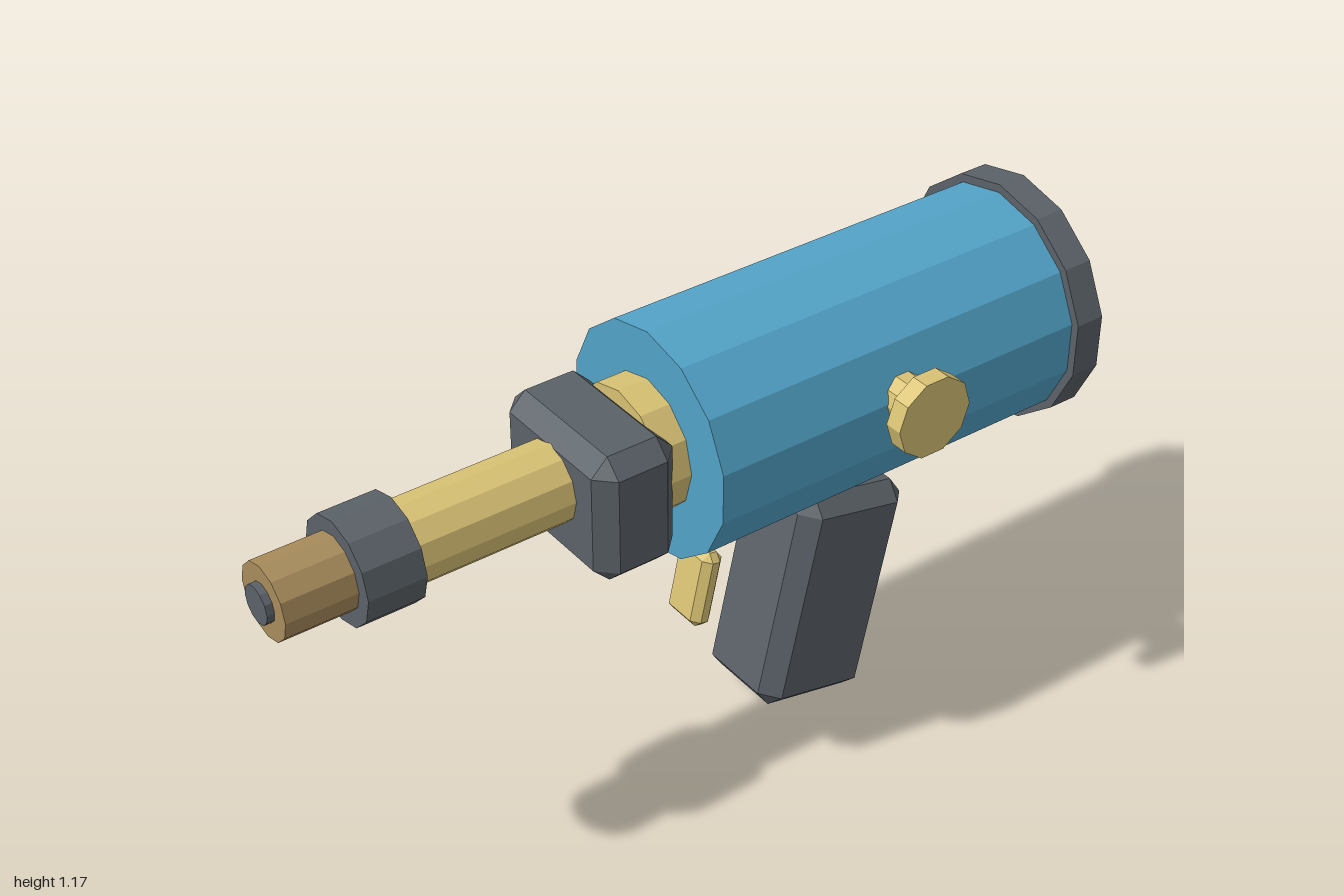
import * as THREE from 'three';
import { ConvexGeometry } from 'three/addons/geometries/ConvexGeometry.js';

const AXIS_X = -0.037, AXIS_Y = 0.876;

const paint = (color) => new THREE.MeshStandardMaterial({ color, flatShading: true });

// Box with a single flat chamfer along every edge
function chamferBox(w, h, d, c) {
  const points = [];
  for (const sx of [-1, 1]) for (const sy of [-1, 1]) for (const sz of [-1, 1]) {
    const x = w / 2, y = h / 2, z = d / 2;
    points.push(
      new THREE.Vector3(sx * x, sy * (y - c), sz * (z - c)),
      new THREE.Vector3(sx * (x - c), sy * y, sz * (z - c)),
      new THREE.Vector3(sx * (x - c), sy * (y - c), sz * z),
    );
  }
  return new ConvexGeometry(points);
}

export function createModel() {
  const model = new THREE.Group();
  model.name = 'blaster';
  const dark = paint(0x5b6268), blue = paint(0x52a3c8);
  const yellow = paint(0xd9c274), bronze = paint(0xa88b5c);

  function add(name, geometry, material, x, y, z, tilt = 0) {
    const mesh = new THREE.Mesh(geometry, material);
    mesh.name = name;
    mesh.position.set(x, y, z);
    mesh.rotation.x = tilt;
    model.add(mesh);
  }

  // Cylinders along the barrel axis: name, radius, sides, back z, front z, material
  const tubes = [
    ['rearCap', 0.295, 14, -1, -0.927, dark],
    ['body', 0.275, 14, -0.927, 0.05, blue],
    ['collar', 0.158, 12, 0.05, 0.125, yellow],
    ['barrel', 0.095, 12, 0.125, 0.7, yellow],
    ['barrelRing', 0.124, 12, 0.68, 0.817, dark],
    ['muzzle', 0.088, 12, 0.8, 0.983, bronze],
    ['muzzleCore', 0.045, 12, 0.95, 1, dark],
  ];
  for (const [name, r, sides, z0, z1, material] of tubes) {
    const geometry = new THREE.CylinderGeometry(r, r, z1 - z0, sides).rotateX(Math.PI / 2);
    add(name, geometry, material, AXIS_X, AXIS_Y, (z0 + z1) / 2);
  }

  // Side knob and its stem: name, radius, inner x, outer x
  for (const [name, r, x0, x1] of [['knobStem', 0.055, 0.21, 0.265], ['knob', 0.098, 0.279, 0.322]]) {
    const geometry = new THREE.CylinderGeometry(r, r, x1 - x0, 10).rotateZ(Math.PI / 2);
    add(name, geometry, yellow, (x0 + x1) / 2, 0.932, -0.445);
  }

  // Chamfered block, grip and trigger
  add('frontBlock', chamferBox(0.384, 0.318, 0.205, 0.041), dark, AXIS_X, 0.849, 0.198);
  add('grip', chamferBox(0.26, 0.573, 0.31, 0.041), dark, AXIS_X, 0.303, -0.4, -0.21);
  add('trigger', chamferBox(0.117, 0.195, 0.056, 0.018), yellow, AXIS_X, 0.434, -0.078, -0.21);

  return model;
}
